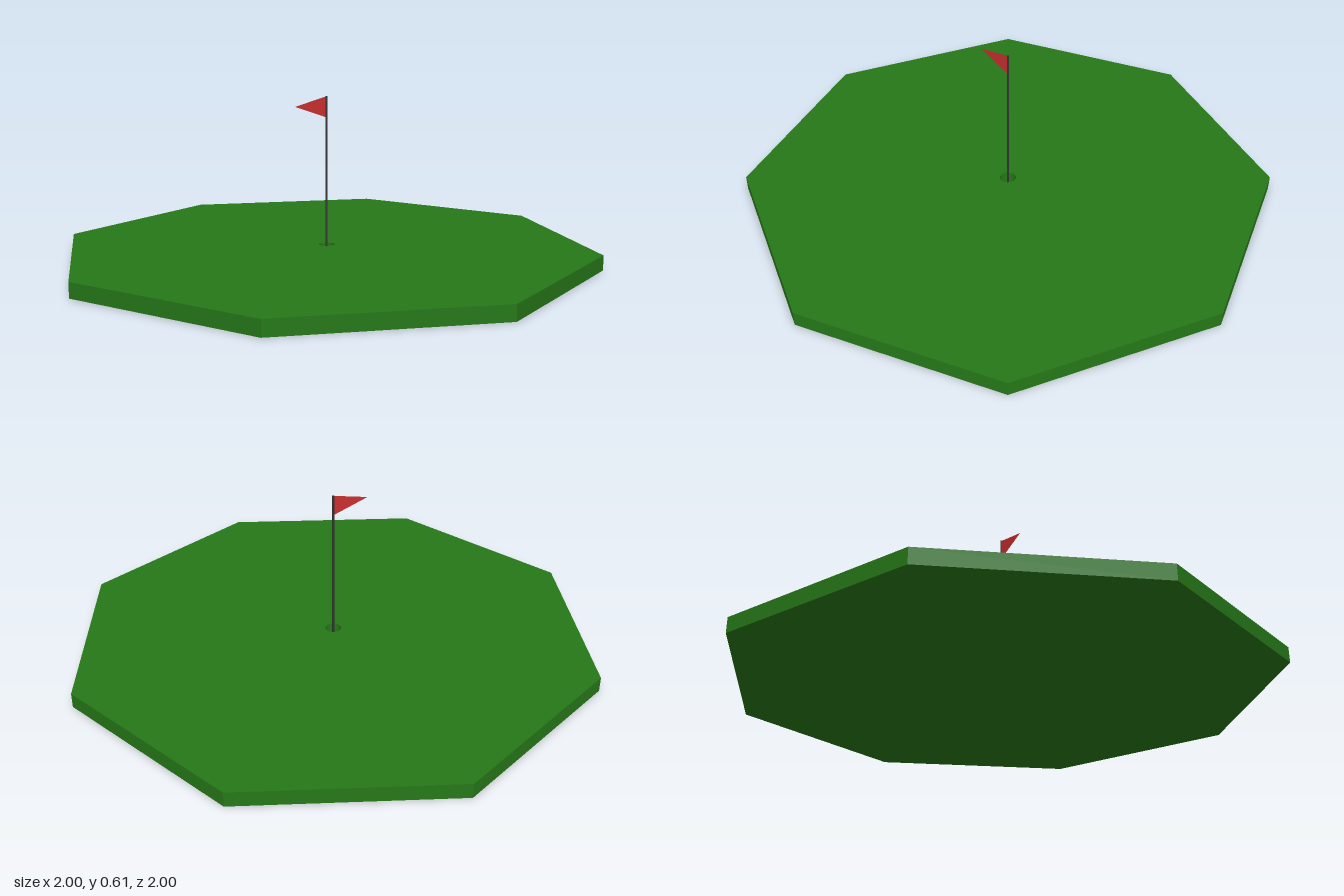
import * as THREE from 'three';

const TOP = 0.055, HOLE_R = 0.03, FLOOR = 0.01, POLE_TOP = 0.605, POLE_R = 0.004;

const material = (color, options = {}) => new THREE.MeshStandardMaterial({ color, ...options });

function addPart(group, name, geometry, mat) {
  const mesh = new THREE.Mesh(geometry, mat);
  mesh.name = name;
  group.add(mesh);
  return mesh;
}

const profile = (...points) => points.map(([x, y]) => new THREE.Vector2(x, y));

export function createModel() {
  const group = new THREE.Group();
  group.name = 'golfGreen';
  const grass = material(0x267818, { flatShading: true });

  // Underside and eight side walls of the turf slab
  addPart(group, 'turfBase', new THREE.LatheGeometry(profile([0, 0], [1, 0], [1, TOP]), 8), grass);

  // Octagonal top surface, pierced by the round hole
  const octagon = Array.from({ length: 8 }, (_, i) => {
    const a = (i * Math.PI) / 4;
    return new THREE.Vector2(Math.cos(a), Math.sin(a));
  });
  const surface = new THREE.Shape(octagon);
  surface.holes.push(new THREE.Path().absarc(0, 0, HOLE_R, 0, Math.PI * 2, true));
  const top = new THREE.ShapeGeometry(surface, 16);
  top.rotateX(-Math.PI / 2).translate(0, TOP, 0);
  addPart(group, 'turfTop', top, grass);

  // Sunken cup: inner wall and floor
  addPart(group, 'holeCup',
    new THREE.LatheGeometry(profile([HOLE_R, TOP], [HOLE_R, FLOOR], [0, FLOOR]), 32), grass);

  // Thin flagpole standing on the cup floor
  const pole = addPart(group, 'flagPole',
    new THREE.CylinderGeometry(POLE_R, POLE_R, POLE_TOP - FLOOR, 12), material(0x333333));
  pole.position.y = (POLE_TOP + FLOOR) / 2;

  // Triangular pennant
  const pennant = new THREE.Shape(profile([0, POLE_TOP], [-0.137, 0.573], [0, 0.528]));
  addPart(group, 'flag', new THREE.ShapeGeometry(pennant),
    material(0xcc3030, { side: THREE.DoubleSide }));

  return group;
}
